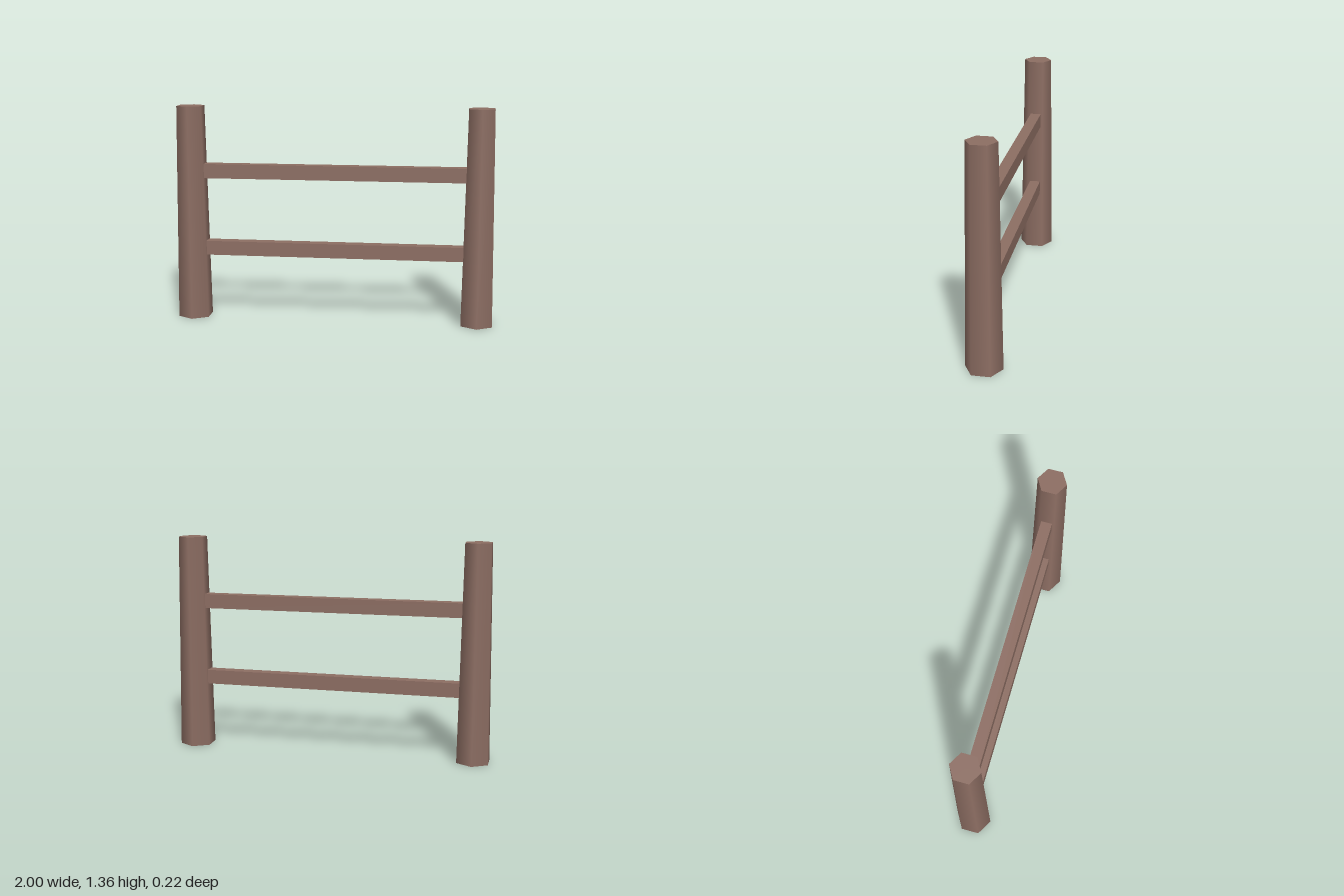
import * as THREE from 'three';

export function createModel() {
  const fence = new THREE.Group();
  fence.name = 'fence';
  const wood = new THREE.MeshStandardMaterial({ color: 0x8d6e63 });

  const add = (name, geometry, x, y) => {
    const mesh = new THREE.Mesh(geometry, wood);
    mesh.name = name;
    mesh.position.set(x, y, 0);
    fence.add(mesh);
  };

  // Tapered six-sided posts, softly shaded, with corners facing front and back
  const height = 1.355;
  const post = new THREE.CylinderGeometry(0.09, 0.112, height, 6);
  add('leftPost', post, 0.903, height / 2);
  add('rightPost', post, -0.903, height / 2);

  // Two rails, ends let slightly into the posts
  const rail = new THREE.BoxGeometry(1.65, 0.09, 0.07);
  add('lowerRail', rail, 0, 0.453);
  add('upperRail', rail, 0, 0.947);

  return fence;
}
